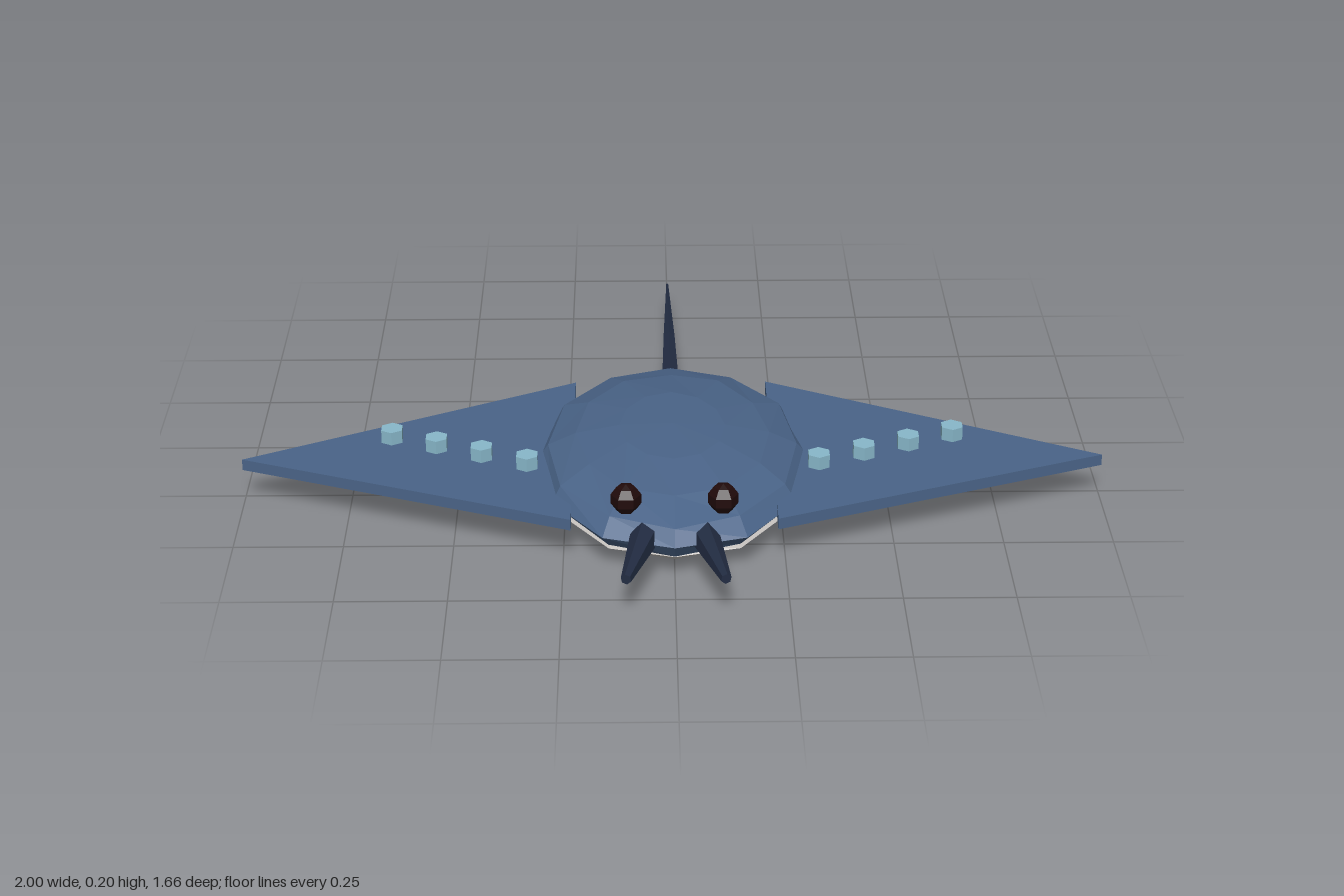
import * as THREE from 'three';

const paint = (name, color) => {
  const m = new THREE.MeshStandardMaterial({ color, flatShading: true });
  m.name = name;
  return m;
};

export function createModel() {
  const model = new THREE.Group();
  model.name = 'ray';
  const blue = paint('slate blue', 0x4a6488);
  const pale = paint('belly grey', 0xc6c2be);
  const navy = paint('dark navy', 0x222c42);
  const black = paint('eye black', 0x210b0b);
  const aqua = paint('spot aqua', 0x88b8ca);

  const add = (name, geometry, material, x = 0, y = 0, z = 0) => {
    const mesh = new THREE.Mesh(geometry, material);
    mesh.name = name;
    mesh.position.set(x, y, z);
    model.add(mesh);
    return mesh;
  };

  // Faceted ellipsoid with slightly uneven corners
  const ellipsoid = (rx, ry, rz, uneven) => {
    const g = new THREE.SphereGeometry(1, 12, 8);
    const p = g.attributes.position;
    for (let i = 0; i < p.count; i++) {
      const [x, y, z] = [p.getX(i), p.getY(i), p.getZ(i)];
      const k = 1 + uneven * Math.sin(7 * x + 11 * y + 5 * z);
      p.setXYZ(i, x * rx * k, y * ry * k, z * rz * k);
    }
    g.computeVertexNormals();
    return g;
  };

  // Tapered rod between two points
  const rod = (name, from, to, r0, r1) => {
    const a = new THREE.Vector3(...from), b = new THREE.Vector3(...to);
    const dir = b.clone().sub(a);
    const mesh = add(name, new THREE.CylinderGeometry(r1, r0, dir.length(), 6), navy);
    mesh.position.copy(a).add(b).multiplyScalar(0.5);
    mesh.quaternion.setFromUnitVectors(new THREE.Vector3(0, 1, 0), dir.normalize());
  };

  // Body, with a pale belly just breaking through its underside
  add('body', ellipsoid(0.318, 0.09, 0.45, 0.015), blue, 0, 0.095, 0.24);
  add('belly', ellipsoid(0.29, 0.042, 0.41, 0.02), pale, 0, 0.05, 0.24);

  for (const s of [1, -1]) {
    const side = s > 0 ? 'left' : 'right';

    // Flat triangular wing, shape y is -z
    const outline = new THREE.Shape([
      new THREE.Vector2(s * 0.232, 0.13),
      new THREE.Vector2(s * 1, -0.275),
      new THREE.Vector2(s * 0.232, -0.58),
    ]);
    const wing = new THREE.ExtrudeGeometry(outline, { depth: 0.027, bevelEnabled: false });
    wing.rotateX(-Math.PI / 2);
    add(side + 'Wing', wing, blue, 0, 0.085, 0);

    // Row of raised spots
    for (let i = 0; i < 4; i++) {
      add(side + 'Spot' + (i + 1), new THREE.CylinderGeometry(0.028, 0.028, 0.034, 6), aqua,
        s * (0.337 + 0.107 * i), 0.127, 0.318 - 0.0465 * i);
    }

    // Eye and head horn
    add(side + 'Eye', new THREE.SphereGeometry(0.036, 6, 5), black, s * 0.108, 0.165, 0.58);
    rod(side + 'Horn', [s * 0.06, 0.096, 0.6], [s * 0.108, 0.1, 0.83], 0.037, 0.012);
  }

  // Tail, drooping past the first section
  rod('tailBase', [0, 0.098, -0.16], [0, 0.097, -0.42], 0.023, 0.016);
  rod('tailTip', [0, 0.097, -0.42], [0, 0.067, -0.83], 0.016, 0.003);

  return model;
}
